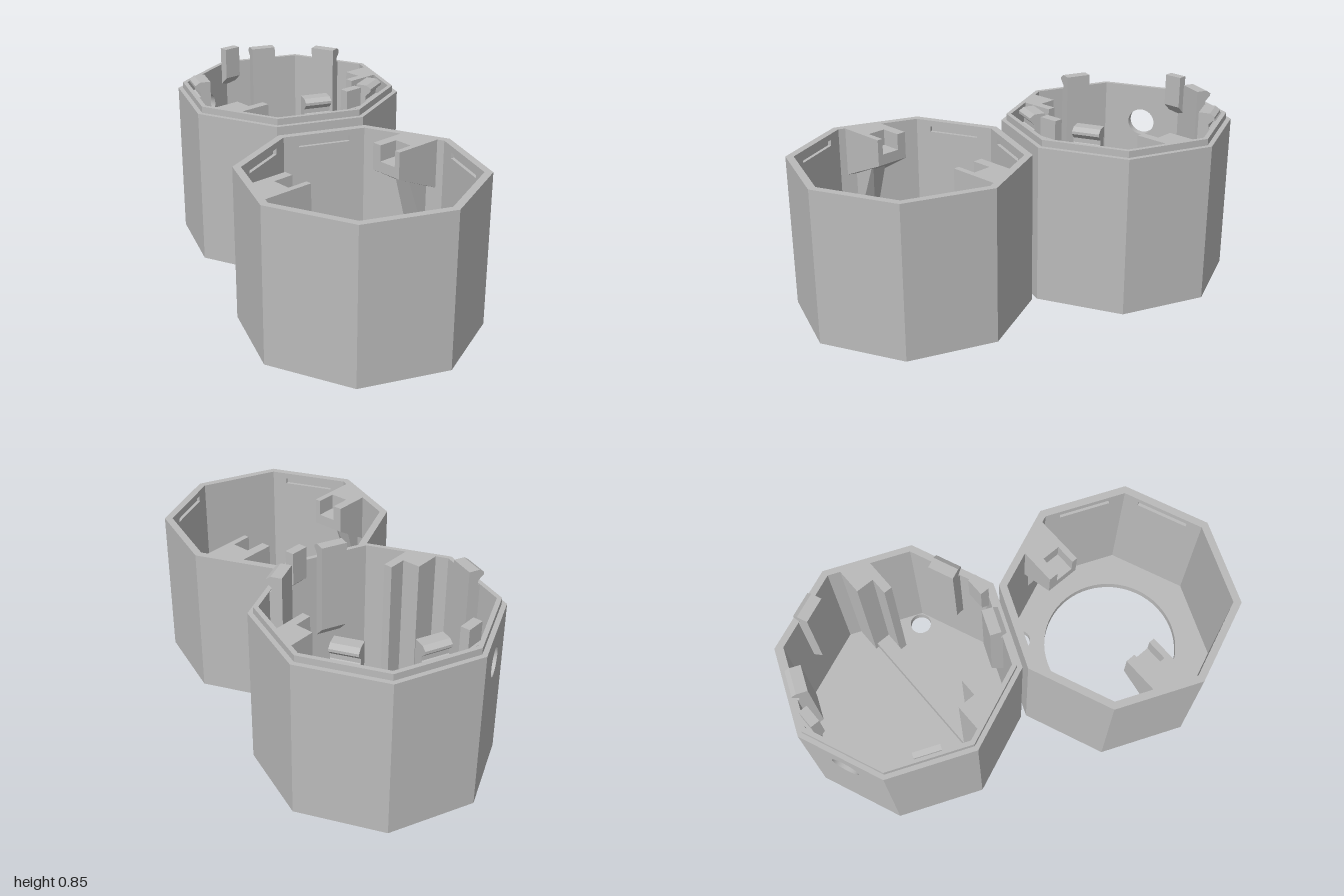
import * as THREE from 'three';

const grey = new THREE.MeshStandardMaterial({ color: 0xbababa });
grey.name = 'grey plastic';

const R = 0.533;                       // outer corner radius of both shells
const APO = Math.cos(Math.PI / 8);     // corner radius -> flat radius
const FLOOR = 0.04;

function add(parent, name, geometry) {
  const mesh = new THREE.Mesh(geometry, grey);
  mesh.name = name;
  parent.add(mesh);
  return mesh;
}

const polygon = (points) => new THREE.Shape(points.map(([x, y]) => new THREE.Vector2(x, y)));

const octagon = (r) => Array.from({ length: 8 }, (_, i) =>
  [r * Math.cos(i * Math.PI / 4), r * Math.sin(i * Math.PI / 4)]);

function circle(x, y, r) {
  const path = new THREE.Path();
  path.absarc(x, y, r, 0, Math.PI * 2, true);
  return path;
}

const extrude = (shape, depth) =>
  new THREE.ExtrudeGeometry(shape, { depth, bevelEnabled: false, curveSegments: 32 });

// Plan outline (x, -z) raised from y0 to y1
const plan = (shape, y0, y1) => extrude(shape, y1 - y0).rotateX(-Math.PI / 2).translate(0, y0, 0);

// Profile (distance outward, y) swept sideways; outward is local +z
const radial = (points, width) =>
  extrude(polygon(points), width).translate(0, 0, -width / 2).rotateY(-Math.PI / 2);

// Flat wall panel between two distances from the centre, with an optional opening
function panel(inner, outer, height, opening) {
  const half = outer * Math.tan(Math.PI / 8);
  const shape = polygon([[-half, 0], [half, 0], [half, height], [-half, height]]);
  if (opening) shape.holes.push(opening);
  return extrude(shape, outer - inner).translate(0, 0, inner);
}

const sideAngle = (k) => Math.PI / 8 + k * Math.PI / 4;

function floor(parent, holes) {
  const shape = polygon(octagon(R - 0.005));
  shape.holes.push(...holes);
  add(parent, 'floor', plan(shape, 0, FLOOR));
}

// Shell with a large round opening, latch slots and two hooked brackets
function openShell() {
  const g = new THREE.Group();
  g.name = 'openShell';
  const H = 0.705, inner = 0.497 * APO, outer = R * APO, mid = inner + 0.016;
  floor(g, [circle(0, -0.015, 0.325), circle(-0.305, 0.31, 0.05), circle(0.305, 0.31, 0.05)]);
  const slotted = [0, 1, 3, 4, 6];
  for (let k = 0; k < 8; k++) {
    add(g, 'wall', panel(mid, outer, H)).rotation.y = sideAngle(k);
    const slot = slotted.includes(k)
      ? new THREE.Path([[-0.12, 0.65], [-0.12, 0.677], [0.12, 0.677], [0.12, 0.65]]
        .map(([x, y]) => new THREE.Vector2(x, y)))
      : null;
    add(g, 'wallLining', panel(inner, mid, H, slot)).rotation.y = sideAngle(k);
  }
  // Brackets: full cheeks either side of a notch, above a sloping rib
  const cheek = [[0.25, H], [0.5, H], [0.5, 0.47], [0.25, 0.58]];
  const notch = [[0.25, 0.63], [0.345, 0.63], [0.345, H], [0.5, H], [0.5, 0.47], [0.25, 0.58]];
  const rib = [[0.34, 0.57], [0.5, 0.57], [0.5, 0.2]];
  const pieces = [
    ['bracketCheek', cheek, -0.19, -0.145],
    ['bracketNotch', notch, -0.145, -0.057],
    ['bracketCheek', cheek, -0.057, -0.03],
    ['bracketRib', rib, -0.15, -0.07],
  ];
  for (const side of [1, -1]) {
    const bracket = new THREE.Group();
    bracket.name = side > 0 ? 'leftBracket' : 'rightBracket';
    bracket.scale.x = side;
    for (const [name, points, z0, z1] of pieces) {
      const geo = extrude(polygon(points), z1 - z0).translate(0, 0, z0);
      // Slant the outer end so it stays buried in the wall
      const p = geo.attributes.position;
      for (let i = 0; i < p.count; i++) {
        if (p.getX(i) > 0.45) p.setX(i, 0.512 + 0.414 * p.getZ(i));
      }
      geo.computeVertexNormals();
      add(bracket, name, geo);
    }
    g.add(bracket);
  }
  return g;
}

// Shell with a raised lip, snap clips, board rails and a cable hole
function clipShell() {
  const g = new THREE.Group();
  g.name = 'clipShell';
  const H = 0.735, TOP = 0.765, innerR = 0.488;
  floor(g, [circle(-0.305, -0.303, 0.05), circle(0.305, -0.303, 0.05)]);
  for (let k = 0; k < 8; k++) {
    const hole = k === 4 ? circle(0, 0.58, 0.065) : null;
    add(g, 'wall', panel(innerR * APO, R * APO, H, hole)).rotation.y = sideAngle(k);
  }
  const lip = polygon(octagon(0.51));
  lip.holes.push(polygon(octagon(innerR)));
  add(g, 'lip', plan(lip, H, TOP));

  // Snap clips with a pointed outward ridge and a sloping foot
  const clip = [[0.395, 0.835], [0.445, 0.835], [0.467, 0.82], [0.467, 0.808],
    [0.442, 0.785], [0.442, 0.765], [0.455, 0.76], [0.455, 0.36], [0.395, 0.42]];
  for (const k of [0, 2, 3, 5, 7]) {
    add(g, 'snapClip', radial(clip, 0.12)).rotation.y = sideAngle(k);
  }
  // Guide tabs in the front and back corners
  const tab = [[0.43, 0.85], [0.472, 0.85], [0.472, 0.765], [0.485, 0.765], [0.485, 0.65], [0.43, 0.7]];
  for (const angle of [0, Math.PI]) {
    add(g, 'guideTab', radial(tab, 0.085)).rotation.y = angle;
  }
  // Grooved posts that hold a board upright, joined by a low rail
  const post = [[0.485, 0.052], [0.345, 0.052], [0.345, 0.137], [0.263, 0.137], [0.263, 0.177], [0.43, 0.177]];
  for (const side of [1, -1]) {
    add(g, 'boardPost', plan(polygon(post.map(([x, z]) => [side * x, -z])), 0.02, TOP));
  }
  add(g, 'boardRail', new THREE.BoxGeometry(0.69, 0.06, 0.07).translate(0, 0.06, 0.102));
  return g;
}

export function createModel() {
  const model = new THREE.Group();
  model.name = 'octagonalEnclosure';
  const a = openShell();
  a.position.set(-0.194, 0, 0.466);
  const b = clipShell();
  b.position.set(0.194, 0, -0.466);
  model.add(a, b);
  return model;
}
